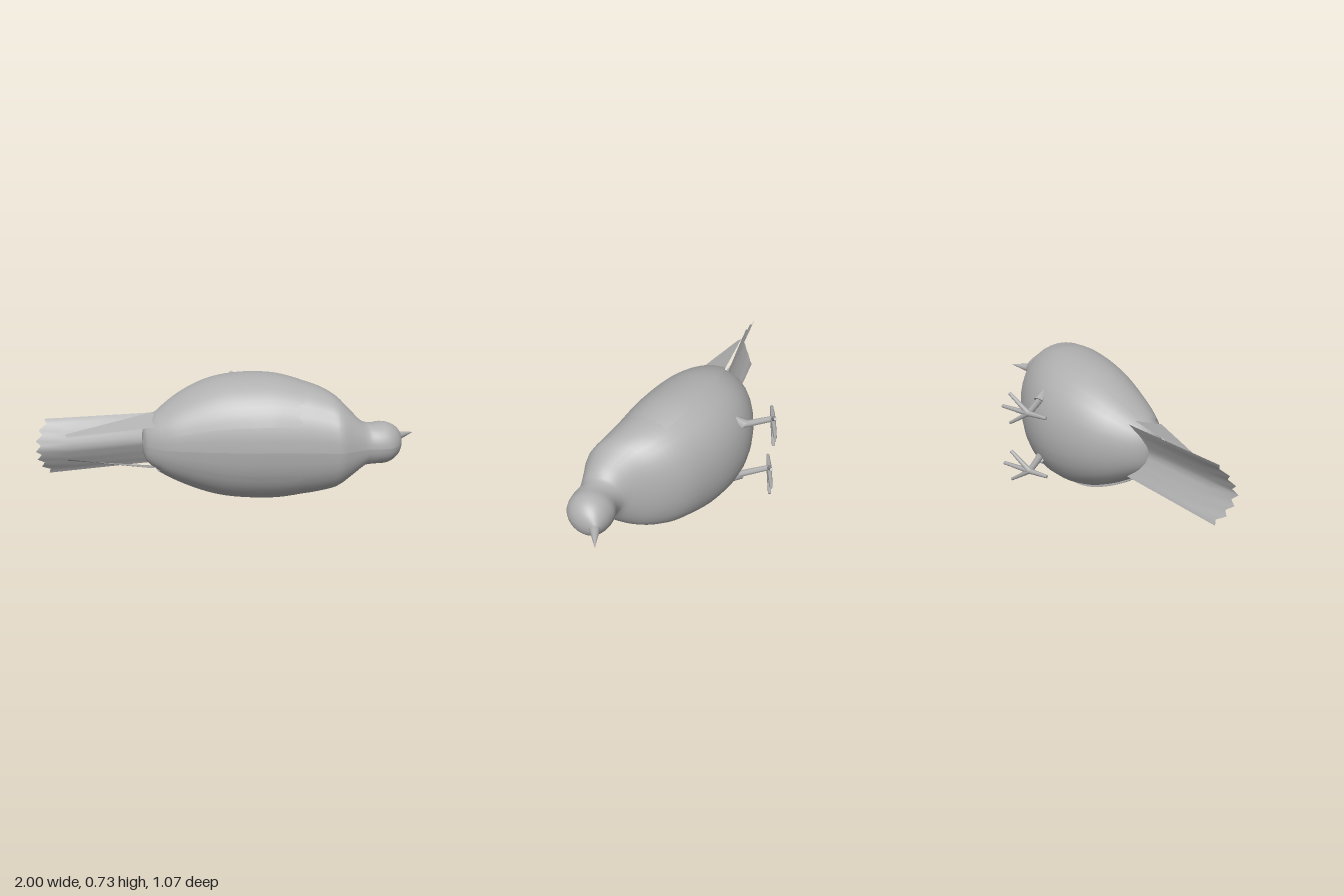
import * as THREE from 'three';

// The bird lies on its side: x forward, z towards its back, y across its body.
const grey = new THREE.MeshStandardMaterial({ color: 0xb0b0b0, side: THREE.DoubleSide });
grey.name = 'plain grey';

// Body sections: back point (x, z), belly point (x, z), half width
const sections = [
  [-0.44, -0.2, -0.435, -0.23, 0.03],
  [-0.43, -0.15, -0.41, -0.29, 0.1],
  [-0.35, -0.05, -0.31, -0.36, 0.178],
  [-0.22, 0.05, -0.15, -0.42, 0.266],
  [-0.08, 0.145, 0.03, -0.43, 0.33],
  [0.07, 0.24, 0.2, -0.395, 0.353],
  [0.2, 0.31, 0.35, -0.31, 0.352],
  [0.32, 0.38, 0.48, -0.19, 0.33],
  [0.4, 0.43, 0.575, -0.07, 0.298],
  [0.45, 0.465, 0.625, 0.06, 0.258],
  [0.53, 0.472, 0.642, 0.18, 0.192],
  [0.62, 0.483, 0.66, 0.25, 0.128],
  [0.68, 0.515, 0.7, 0.28, 0.116],
  [0.74, 0.53, 0.76, 0.287, 0.118],
  [0.8, 0.51, 0.81, 0.308, 0.1],
  [0.85, 0.46, 0.85, 0.335, 0.065],
  [0.88, 0.39, 0.88, 0.36, 0.02],
];
const last = sections.length - 1;
const curve = (f) => new THREE.CatmullRomCurve3(sections.map(f), false, 'centripetal');
const backs = curve(s => new THREE.Vector3(s[0], s[4], s[1]));
const bellies = curve(s => new THREE.Vector3(s[2], s[4], s[3]));

// Point on the body: t counts sections, a turns from the back round to +y
function bodyPoint(t, a, lift = 0) {
  const d = backs.getPoint(t / last), v = bellies.getPoint(t / last);
  const full = t < 11 ? 1 + 0.03 * Math.sin(2 * a) ** 2 : 1; // slightly full flanks
  const c = Math.cos(a) * full, s = Math.sin(a) * full;
  const half = d.clone().sub(v).multiplyScalar(0.5);
  half.y = 0;
  const r = half.length();
  return new THREE.Vector3((d.x + v.x) / 2, 0, (d.z + v.z) / 2)
    .addScaledVector(half, c * (1 + lift / r))
    .add(new THREE.Vector3(0, s * ((d.y + v.y) / 2 + lift), 0));
}

// Surface over a grid of points f(u, v)
function surface(name, f, nu, nv) {
  const pos = [], index = [];
  for (let i = 0; i <= nu; i++) {
    for (let j = 0; j <= nv; j++) pos.push(...f(i / nu, j / nv).toArray());
  }
  for (let i = 0; i < nu; i++) {
    for (let j = 0; j < nv; j++) {
      const a = i * (nv + 1) + j, b = a + nv + 1;
      index.push(a, b, b + 1, a, b + 1, a + 1);
    }
  }
  const g = new THREE.BufferGeometry();
  g.setAttribute('position', new THREE.Float32BufferAttribute(pos, 3));
  g.setIndex(index);
  g.computeVertexNormals();
  const m = new THREE.Mesh(g, grey);
  m.name = name;
  return m;
}

// Tapered rod between two points
function rod(name, from, to, r0, r1, sides = 8) {
  const a = new THREE.Vector3(...from), b = new THREE.Vector3(...to);
  const dir = b.clone().sub(a);
  const m = new THREE.Mesh(new THREE.CylinderGeometry(r1, r0, dir.length(), sides), grey);
  m.position.copy(a).add(b).multiplyScalar(0.5);
  m.quaternion.setFromUnitVectors(new THREE.Vector3(0, 1, 0), dir.normalize());
  m.name = name;
  return m;
}

function makeWing(side) {
  const wing = new THREE.Group();
  wing.name = side > 0 ? 'leftWing' : 'rightWing';
  // folded wing against the flank, blending into the shoulder, lower edge standing off
  wing.add(surface('foldedWing', (u, v) => {
    const t = 1.7 + u * (4.9 + 0.9 * v);
    const blend = Math.min(1, 5 * (1 - u));
    const p = bodyPoint(t, 0.4 + 1.5 * v, -0.002 + blend * (0.009 + 0.006 * v * v));
    p.y *= side;
    return p;
  }, 24, 14));
  // long feathers reaching back to rest on the tail
  const top = [[-0.28, 0.08, -0.1], [-0.415, 0.12, -0.14], [-0.83, 0.063, -0.365]];
  const low = [[-0.22, 0.18, -0.25], [-0.34, 0.165, -0.275], [-0.83, 0.078, -0.39]];
  wing.add(surface('wingTip', (u, v) => {
    const i = Math.round(u * 2);
    const p = new THREE.Vector3(...top[i]).lerp(new THREE.Vector3(...low[i]), v);
    p.y *= side;
    return p;
  }, 2, 2));
  return wing;
}

function makeLeg(side) {
  const leg = new THREE.Group();
  leg.name = side > 0 ? 'leftLeg' : 'rightLeg';
  const y = 0.168 * side, ankle = [0.165, y, -0.52];
  leg.add(rod('thigh', [0.22, y + 0.045 * side, -0.3], [0.22, y, -0.355], 0.016, 0.034));
  leg.add(rod('shin', [0.23, y, -0.34], ankle, 0.02, 0.016));
  const toes = [[0.34, 0], [0.29, 0.085], [0.29, -0.085], [0.05, 0]];
  for (const [x, dy] of toes) {
    leg.add(rod('toe', ankle, [x, y + dy, -0.52], 0.015, 0.009, 6));
  }
  return leg;
}

export function createModel() {
  const bird = new THREE.Group();
  bird.name = 'bird';

  // body, neck and head in one skin
  bird.add(surface('body', (u, v) => bodyPoint(u * last, v * Math.PI * 2), 48, 32));
  bird.add(rod('beak', [0.85, 0, 0.38], [0.998, 0, 0.364], 0.032, 0.001, 12));

  // roof-shaped tail with a jagged end
  const feathers = 12;
  bird.add(surface('tail', (u, v) => {
    const s = Math.abs(v * 2 - 1), k = Math.round(v * feathers);
    const endX = -0.998 + 0.08 * s * s + (k % 2 ? 0.03 : 0);
    const drop = (0.05 + 0.012 * u) * s ** 1.2;
    return new THREE.Vector3(
      THREE.MathUtils.lerp(-0.35 + 0.04 * s, endX, u),
      (v * 2 - 1) * (0.15 + 0.012 * u),
      THREE.MathUtils.lerp(-0.25, -0.41, u) - drop);
  }, 4, feathers));

  for (const side of [1, -1]) bird.add(makeWing(side), makeLeg(side));

  // slight tilt of the whole bird
  bird.rotation.z = 0.0216;
  bird.position.y = 0.363;
  const model = new THREE.Group();
  model.name = 'model';
  model.add(bird);
  return model;
}
